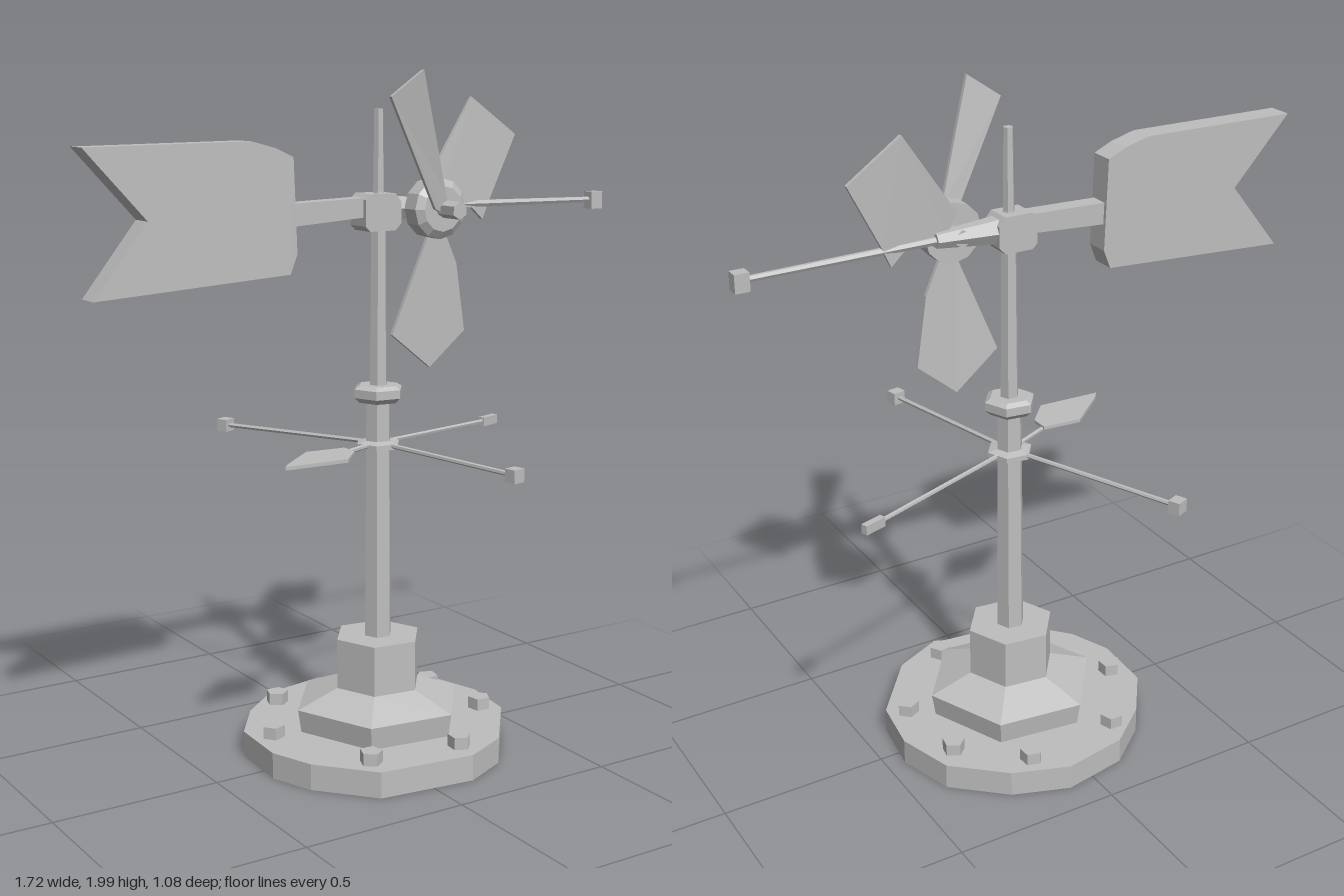
import * as THREE from 'three';

const CX = 0.05, CZ = -0.005; // axis of the pole

export function createModel() {
  const group = new THREE.Group();
  const grey = new THREE.MeshStandardMaterial({ color: 0xbebebe, flatShading: true, side: THREE.DoubleSide });
  grey.name = 'grey';

  const add = (name, geometry, x = 0, y = 0, z = 0) => {
    const mesh = new THREE.Mesh(geometry, grey);
    mesh.name = name;
    mesh.position.set(x, y, z);
    group.add(mesh);
    return mesh;
  };
  const toShape = (pts) => new THREE.Shape(pts.map(([x, y]) => new THREE.Vector2(x, y)));
  // six-sided turned part around the pole, profile as [radius, height]
  const turned = (name, profile, sides = 6, turn = 0.4) =>
    add(name, new THREE.LatheGeometry(profile.map(([r, y]) => new THREE.Vector2(r, y)), sides, turn), CX, 0, CZ);
  // thin rod between two points
  const rod = (name, a, b, r0, r1 = r0, sides = 6) => {
    const from = new THREE.Vector3(...a), to = new THREE.Vector3(...b);
    const dir = to.clone().sub(from);
    const mesh = add(name, new THREE.CylinderGeometry(r1, r0, dir.length(), sides));
    mesh.position.copy(from).add(to).multiplyScalar(0.5);
    mesh.quaternion.setFromUnitVectors(new THREE.Vector3(0, 1, 0), dir.normalize());
    return mesh;
  };
  const plate = (pts, depth) =>
    new THREE.ExtrudeGeometry(toShape(pts), { depth, bevelEnabled: false });

  // Hollow base: uneven disc, open underneath, with a hexagonal opening on top
  const rim = [[0.085, -0.41], [0.25, -0.35], [0.395, -0.22], [0.445, -0.05], [0.42, 0.12],
    [0.265, 0.315], [0.125, 0.38], [-0.165, 0.345], [-0.3, 0.19], [-0.35, 0.06],
    [-0.34, -0.13], [-0.24, -0.27], [-0.11, -0.375]];
  const top = toShape(rim);
  const hole = [];
  for (let i = 0; i < 6; i++) {
    const t = 0.4 + i * Math.PI / 3;
    hole.push(new THREE.Vector2(CX + 0.25 * Math.sin(t), CZ + 0.25 * Math.cos(t)));
  }
  top.holes.push(new THREE.Path(hole));
  add('baseTop', new THREE.ShapeGeometry(top).rotateX(Math.PI / 2), 0, 0.082, 0);
  const wall = [];
  rim.forEach(([x, z], i) => {
    const [u, w] = rim[(i + 1) % rim.length];
    wall.push(x, 0.082, z, u, 0.082, w, u, 0.005, w, x, 0.082, z, u, 0.005, w, x, 0.005, z);
  });
  const wallGeometry = new THREE.BufferGeometry();
  wallGeometry.setAttribute('position', new THREE.Float32BufferAttribute(wall, 3));
  wallGeometry.computeVertexNormals();
  add('baseWall', wallGeometry);

  // Bolts
  [[-0.135, -0.29], [0.165, -0.32], [0.34, -0.165], [0.365, 0.08], [0.13, 0.305], [-0.15, 0.27], [-0.285, -0.05]]
    .forEach(([x, z], i) => {
      add('bolt', new THREE.CylinderGeometry(0.034, 0.034, 0.04, 5, 1, false, i), x, 0.098, z);
    });

  // Pedestal, pole and collars
  turned('pedestal', [[0.25, 0.082], [0.26, 0.15], [0.133, 0.2], [0.133, 0.35], [0.04, 0.35]]);
  turned('lowerPole', [[0.042, 0.34], [0.038, 1.06]]);
  turned('collar', [[0.03, 1.052], [0.06, 1.055], [0.076, 1.07], [0.076, 1.095], [0.06, 1.105], [0.02, 1.105]]);
  turned('upperPole', [[0.027, 1.1], [0.023, 1.6], [0.017, 1.66], [0.014, 1.89], [0, 1.89]]);
  turned('spokeRing', [[0.035, 0.915], [0.068, 0.92], [0.068, 0.935], [0.035, 0.942]]);

  // Direction spokes with end blocks
  [[[-0.178, 0.922, -0.52], [0.04, 0.038, 0.035]],
    [[0.575, 0.913, -0.177], [0.02, 0.028, 0.07]],
    [[0.155, 0.923, 0.51], [0.04, 0.038, 0.035]]].forEach(([end, size]) => {
    rod('spoke', [CX, 0.932, CZ], end, 0.007);
    const block = add('spokeEnd', new THREE.BoxGeometry(...size), ...end);
    block.rotation.y = Math.atan2(end[0] - CX, end[2] - CZ);
  });
  rod('pointerSpoke', [CX, 0.932, CZ], [-0.14, 0.934, 0.08], 0.007);
  add('pointerPlate', plate([[-0.365, 0.175], [-0.345, 0.15], [-0.22, 0.04], [-0.1, 0.05],
    [-0.1, 0.105], [-0.17, 0.183]], 0.01).rotateX(Math.PI / 2), 0, 0.945, 0);

  // Chamfered head on the pole
  add('head', plate([[-0.015, 1.565], [0, 1.55], [0.085, 1.55], [0.105, 1.57], [0.105, 1.63],
    [0.085, 1.655], [0, 1.655], [-0.015, 1.64]], 0.08), 0, 0, -0.05);

  // Tail arm and notched tail vane
  add('tailArm', plate([[-0.24, 1.575], [-0.01, 1.59], [-0.01, 1.645], [-0.24, 1.638]], 0.054), 0, 0, -0.037);
  add('tailVane', plate([[-0.865, 1.805], [-0.685, 1.61], [-0.845, 1.41], [-0.257, 1.445],
    [-0.235, 1.5], [-0.245, 1.765], [-0.3, 1.79], [-0.375, 1.81]], 0.073), 0, 0, -0.048);

  // Front boom with counterweight
  rod('boomRoot', [0.09, 1.61, -0.01], [0.28, 1.613, -0.01], 0.04, 0.022);
  rod('boom', [0.25, 1.613, -0.01], [0.82, 1.607, -0.003], 0.012, 0.009);
  add('counterweight', new THREE.BoxGeometry(0.042, 0.052, 0.036), 0.835, 1.605, -0.003);

  // Propeller hub and axle
  const HX = 0.205, HY = 1.61;
  rod('propellerHub', [HX, HY, 0.025], [HX, HY, 0.08], 0.087, 0.087, 12);
  rod('hubFace', [HX, HY, 0.08], [HX, HY, 0.095], 0.087, 0.065, 12);
  rod('axle', [HX, HY, -0.03], [HX, HY, 0.175], 0.025);

  // Blades, leaning forwards or backwards with distance from the hub
  const blade = (pts, rootZ, tipZ) => {
    const g = plate(pts, 0.012);
    const p = g.attributes.position;
    for (let i = 0; i < p.count; i++) {
      const d = Math.hypot(p.getX(i) - HX, p.getY(i) - HY) / 0.43;
      p.setZ(i, p.getZ(i) - 0.006 + rootZ + (tipZ - rootZ) * d);
    }
    g.computeVertexNormals();
    add('blade', g);
  };
  blade([[-0.024, 1.926], [0.165, 1.612], [0.19, 1.6], [0.21, 1.62], [0.2, 1.655], [0.08, 1.998]], 0.1, 0.173);
  blade([[0.378, 1.92], [0.21, 1.68], [0.24, 1.62], [0.375, 1.6], [0.415, 1.565], [0.44, 1.62], [0.54, 1.81]], 0.005, -0.025);
  blade([[0.21, 1.145], [0.33, 1.245], [0.295, 1.445], [0.245, 1.55], [0.2, 1.55], [0.077, 1.25]], 0.035, 0.02);

  return group;
}
